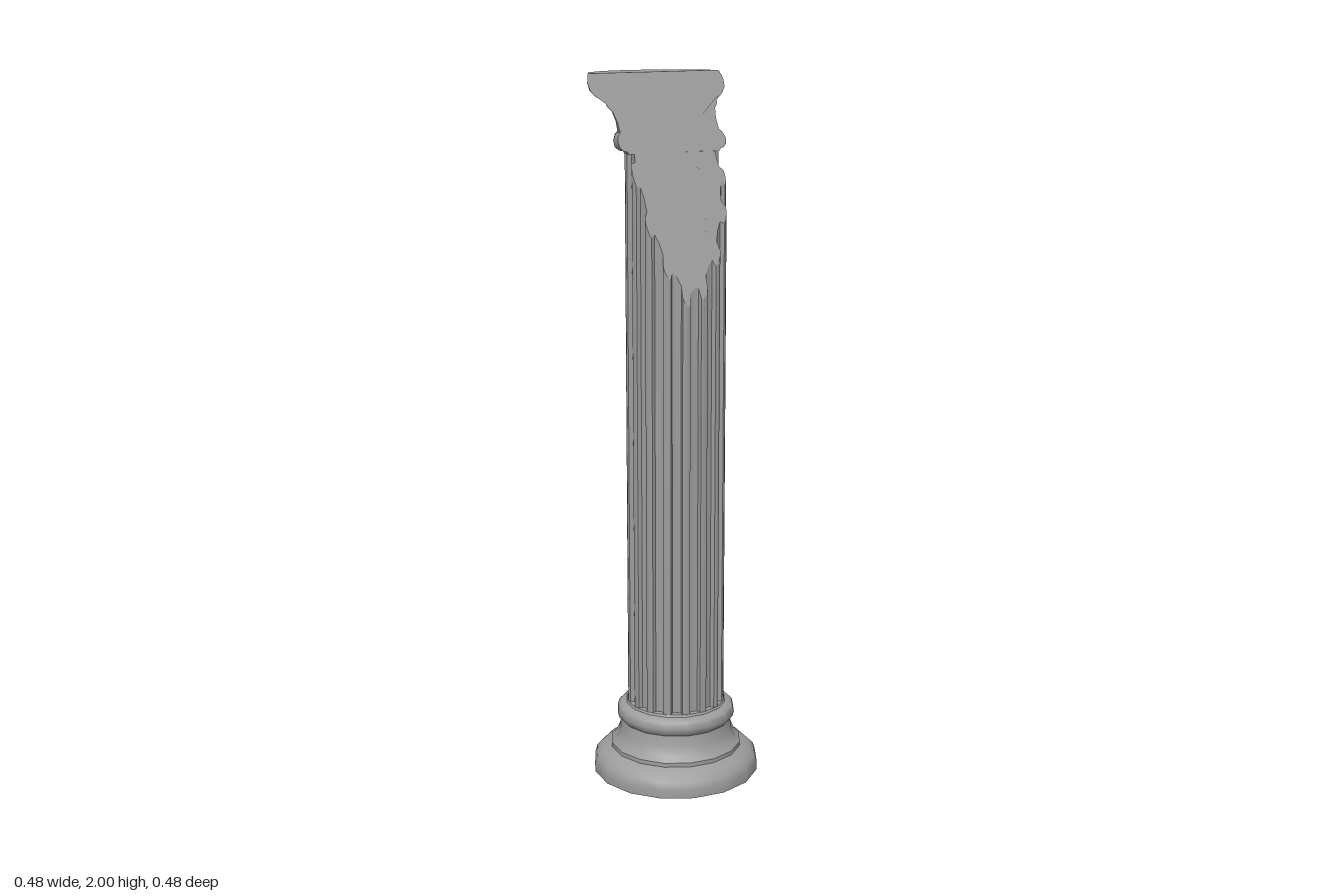
import * as THREE from 'three';
import { toCreasedNormals } from 'three/addons/utils/BufferGeometryUtils.js';

const SIDES = 16;
const JOINT = 0.212; // height of the moulding at either end of the shaft

// Steepness of the break, varying from back to front
const slope = (z) => THREE.MathUtils.clamp(2.45 + 5.5 * z, 1.85, 2.65);
// Positive above the broken surface
const above = (p) => p.y - 2 + slope(p.z) * (p.x + 0.1);

// Middle of the broken surface, where shaft and capital meet
const breakCentre = new THREE.Vector3(JOINT / slope(0) - 0.1, 2 - JOINT, 0);
const breakNormal = new THREE.Vector3(2.4, 1, 0.3).normalize();

// Point where an edge meets the break, with its interpolated normal
function crossing(a, b) {
  let lo = 0, hi = 1;
  const sign = Math.sign(above(a.p));
  for (let i = 0; i < 20; i++) {
    const mid = (lo + hi) / 2;
    if (Math.sign(above(a.p.clone().lerp(b.p, mid))) === sign) lo = mid;
    else hi = mid;
  }
  return { p: a.p.clone().lerp(b.p, lo), n: a.n.clone().lerp(b.n, lo).normalize() };
}

function toGeometry(vertices) {
  const g = new THREE.BufferGeometry();
  g.setAttribute('position', new THREE.Float32BufferAttribute(vertices.flatMap((v) => v.p.toArray()), 3));
  g.setAttribute('normal', new THREE.Float32BufferAttribute(vertices.flatMap((v) => v.n.toArray()), 3));
  return g;
}

// Splits a solid at the break: returns the remaining skin and the broken face
function breakSolid(geometry) {
  const pos = geometry.attributes.position, nor = geometry.attributes.normal;
  const skin = [], face = [];
  for (let i = 0; i < pos.count; i += 3) {
    const tri = [0, 1, 2].map((j) => ({
      p: new THREE.Vector3().fromBufferAttribute(pos, i + j),
      n: new THREE.Vector3().fromBufferAttribute(nor, i + j),
    }));
    const kept = [];
    let exit, entry;
    tri.forEach((a, j) => {
      const b = tri[(j + 1) % 3];
      const inA = above(a.p) <= 0, inB = above(b.p) <= 0;
      if (inA) kept.push(a);
      if (inA !== inB) {
        const c = crossing(a, b);
        kept.push(c);
        if (inA) exit = c; else entry = c;
      }
    });
    for (let j = 2; j < kept.length; j++) skin.push(kept[0], kept[j - 1], kept[j]);
    // The joint between shaft and capital is hidden inside, so it needs no face
    const inJoint = exit && Math.max(Math.abs(exit.p.y - breakCentre.y), Math.abs(entry.p.y - breakCentre.y)) < 1e-4;
    if (exit && !inJoint) {
      for (const p of [entry.p, exit.p, breakCentre]) face.push({ p, n: breakNormal });
    }
  }
  return [toGeometry(skin), toGeometry(face)];
}

// Closed moulding profile, from the outer rim towards the shaft
const moulding = [
  [0, 0], [0.24, 0], [0.241, 0.025], [0.235, 0.045], [0.218, 0.062], [0.19, 0.073],
  [0.19, 0.085], [0.175, 0.1], [0.165, 0.125], [0.16, 0.155], [0.168, 0.163],
  [0.172, 0.178], [0.168, 0.194], [0.158, 0.203], [0.145, 0.206], [0.142, JOINT], [0, JOINT],
];

function lathe(points) {
  return toCreasedNormals(
    new THREE.LatheGeometry(points.map(([r, y]) => new THREE.Vector2(r, y)), SIDES), 0.65);
}

// Fluted shaft: narrow ridges between wide, sharp-edged grooves
function flutedShaft() {
  const period = [[-0.2, 0.137], [-0.1, 0.14], [0.1, 0.14], [0.2, 0.137], [0.25, 0.125], [0.5, 0.122], [0.75, 0.125]];
  const outline = [];
  for (let i = 0; i < SIDES; i++) {
    for (const [u, r] of period) {
      const a = ((i + u) / SIDES) * Math.PI * 2;
      outline.push(new THREE.Vector2(r * Math.cos(a), r * Math.sin(a)));
    }
  }
  const g = new THREE.ExtrudeGeometry(new THREE.Shape(outline), { depth: 2 - 2 * JOINT, bevelEnabled: false });
  g.rotateX(-Math.PI / 2).translate(0, JOINT, 0);
  return toCreasedNormals(g, 0.65);
}

export function createModel() {
  const group = new THREE.Group();
  const stone = new THREE.MeshStandardMaterial({ color: 0x9d9d9d });
  const brokenStone = new THREE.MeshStandardMaterial({ color: 0x9d9d9d, side: THREE.DoubleSide });
  const add = (name, geometry, material = stone) => {
    const mesh = new THREE.Mesh(geometry, material);
    mesh.name = name;
    group.add(mesh);
  };

  // Base
  add('base', lathe(moulding));

  // Shaft, broken diagonally near the top
  const [shaft, shaftBreak] = breakSolid(flutedShaft());
  add('shaft', shaft);
  add('shaftBreak', shaftBreak, brokenStone);

  // Capital: the base moulding turned over, with one side broken away
  const flipped = moulding.map(([r, y]) => [r, 2 - y]).reverse();
  const [capital, capitalBreak] = breakSolid(lathe(flipped));
  add('capital', capital);
  add('capitalBreak', capitalBreak, brokenStone);

  return group;
}
